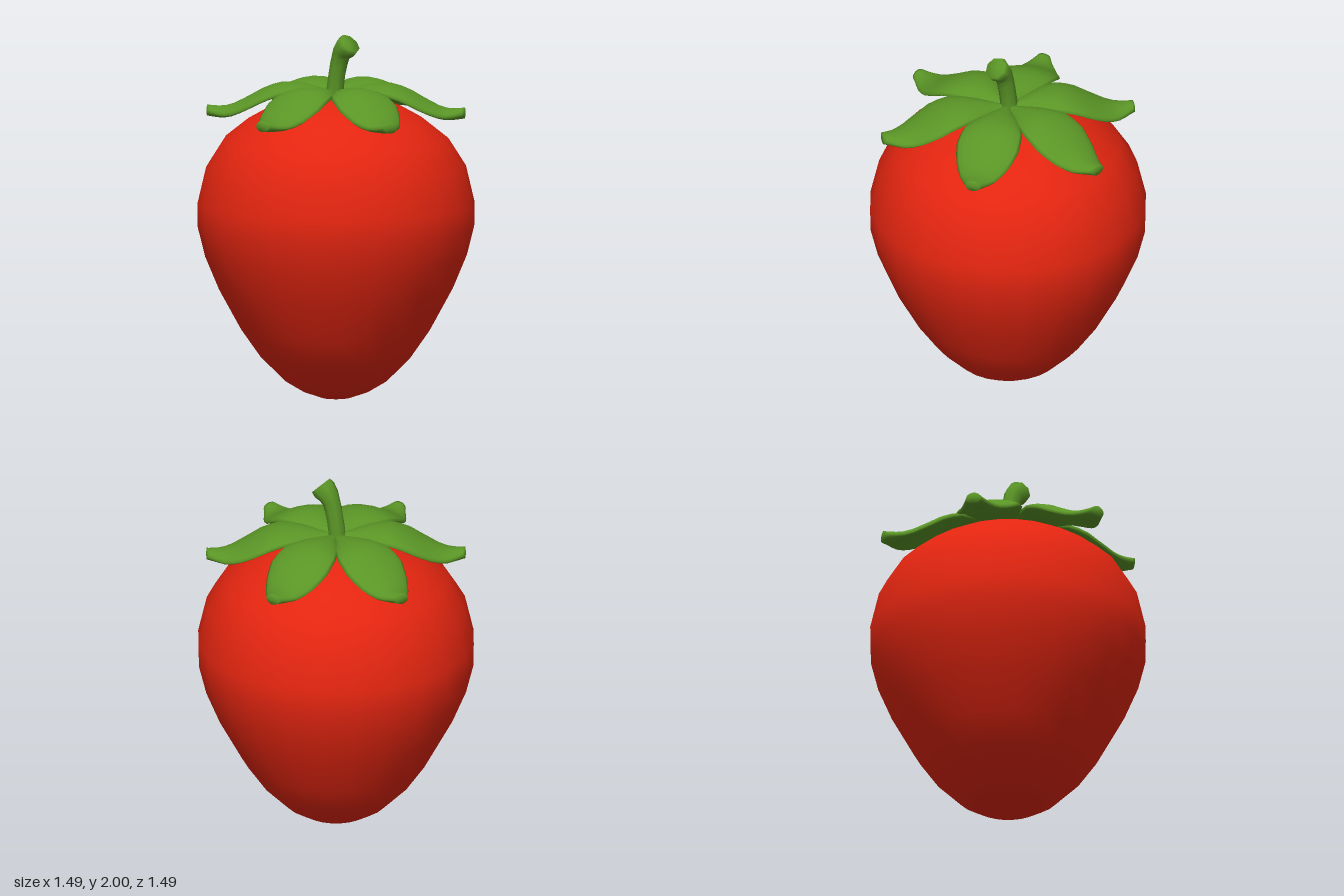
import * as THREE from 'three';
import { mergeVertices } from 'three/addons/utils/BufferGeometryUtils.js';

const red = new THREE.MeshStandardMaterial({ color: 0xe32510 });
red.name = 'berry red';
const green = new THREE.MeshStandardMaterial({ color: 0x5a9526 });
green.name = 'leaf green';

const vectors = (list) => list.map(([x, y]) => new THREE.Vector2(x, y));

// Piecewise-linear lookup in a list of [position, value]
function sample(table, p) {
  let i = 1;
  while (i < table.length - 1 && table[i][0] < p) i++;
  const [a, va] = table[i - 1], [b, vb] = table[i];
  return va + (vb - va) * THREE.MathUtils.clamp((p - a) / (b - a), 0, 1);
}

// Plump fruit body, turned from a profile
function makeBerry() {
  const profile = vectors([
    [0, 0.005], [0.08, 0.015], [0.18, 0.05], [0.28, 0.11], [0.41, 0.24], [0.515, 0.39],
    [0.635, 0.61], [0.71, 0.79], [0.75, 0.95], [0.752, 1.08], [0.705, 1.28],
    [0.61, 1.43], [0.485, 1.53], [0.37, 1.595], [0.24, 1.645], [0.12, 1.665], [0, 1.67],
  ]);
  const berry = new THREE.Mesh(new THREE.LatheGeometry(profile, 24, Math.PI / 24), red);
  berry.name = 'berry';
  return berry;
}

// Leaf pointing along +z: a sphere reshaped by width, height and thickness along its length
function makeLeafGeometry() {
  const width = [[0, 0.02], [0.05, 0.035], [0.1, 0.065], [0.2, 0.125], [0.3, 0.165],
    [0.4, 0.176], [0.5, 0.15], [0.6, 0.1], [0.66, 0.062], [0.71, 0.035]];
  const height = new THREE.SplineCurve(vectors([[0, 1.67], [0.1, 1.69], [0.2, 1.706], [0.3, 1.706],
    [0.4, 1.67], [0.5, 1.615], [0.6, 1.575], [0.71, 1.58]])).getPoints(40).map((p) => [p.x, p.y]);
  const thickness = [[0, 0.02], [0.15, 0.028], [0.4, 0.032], [0.71, 0.03]];
  const geometry = new THREE.SphereGeometry(1, 16, 20);
  const pos = geometry.attributes.position;
  for (let i = 0; i < pos.count; i++) {
    const z = 0.705 * (1 - pos.getY(i)) / 2;
    const ring = Math.sqrt(Math.max(0, 1 - pos.getY(i) ** 2));
    const round = ring < 1e-4 ? 0 : 1 / ring;
    const across = pos.getX(i) * round, up = pos.getZ(i) * round;
    const droop = 0.022 * across * across * Math.sin(Math.PI * z / 0.705);
    pos.setXYZ(i, across * sample(width, z), sample(height, z) + up * sample(thickness, z) - droop, z);
  }
  geometry.deleteAttribute('uv');
  geometry.deleteAttribute('normal');
  const welded = mergeVertices(geometry, 1e-5);
  welded.computeVertexNormals();
  return welded;
}

// Curved stem: an eight-sided cylinder bent along a path and flared at the tip
function makeStem() {
  const path = new THREE.SplineCurve(vectors([[-0.008, 1.63], [-0.004, 1.72], [0.018, 1.84],
    [0.045, 1.91], [0.094, 1.96]]));
  const radius = [[0, 0.05], [0.35, 0.046], [0.65, 0.05], [0.88, 0.067], [1, 0.062]];
  const geometry = new THREE.CylinderGeometry(1, 1, 1, 8, 8);
  const pos = geometry.attributes.position;
  for (let i = 0; i < pos.count; i++) {
    const t = THREE.MathUtils.clamp(pos.getY(i) + 0.5, 0, 1);
    const c = path.getPoint(t), d = path.getTangent(t), r = sample(radius, t);
    const side = pos.getX(i) * r;
    pos.setXYZ(i, c.x + d.y * side, c.y - d.x * side, pos.getZ(i) * r);
  }
  geometry.deleteAttribute('uv');
  geometry.deleteAttribute('normal');
  const welded = mergeVertices(geometry, 1e-5);
  welded.computeVertexNormals();
  const stem = new THREE.Mesh(welded, green);
  stem.name = 'stem';
  return stem;
}

export function createModel() {
  const model = new THREE.Group();
  model.name = 'strawberry';
  model.add(makeBerry(), makeStem());

  // Crown of six leaves
  const crown = new THREE.Group();
  crown.name = 'leafCrown';
  const leafGeometry = makeLeafGeometry();
  for (let i = 0; i < 6; i++) {
    const leaf = new THREE.Mesh(leafGeometry, green);
    leaf.name = 'leaf' + (i + 1);
    leaf.rotation.y = i * Math.PI / 3;
    crown.add(leaf);
  }
  model.add(crown);
  return model;
}
